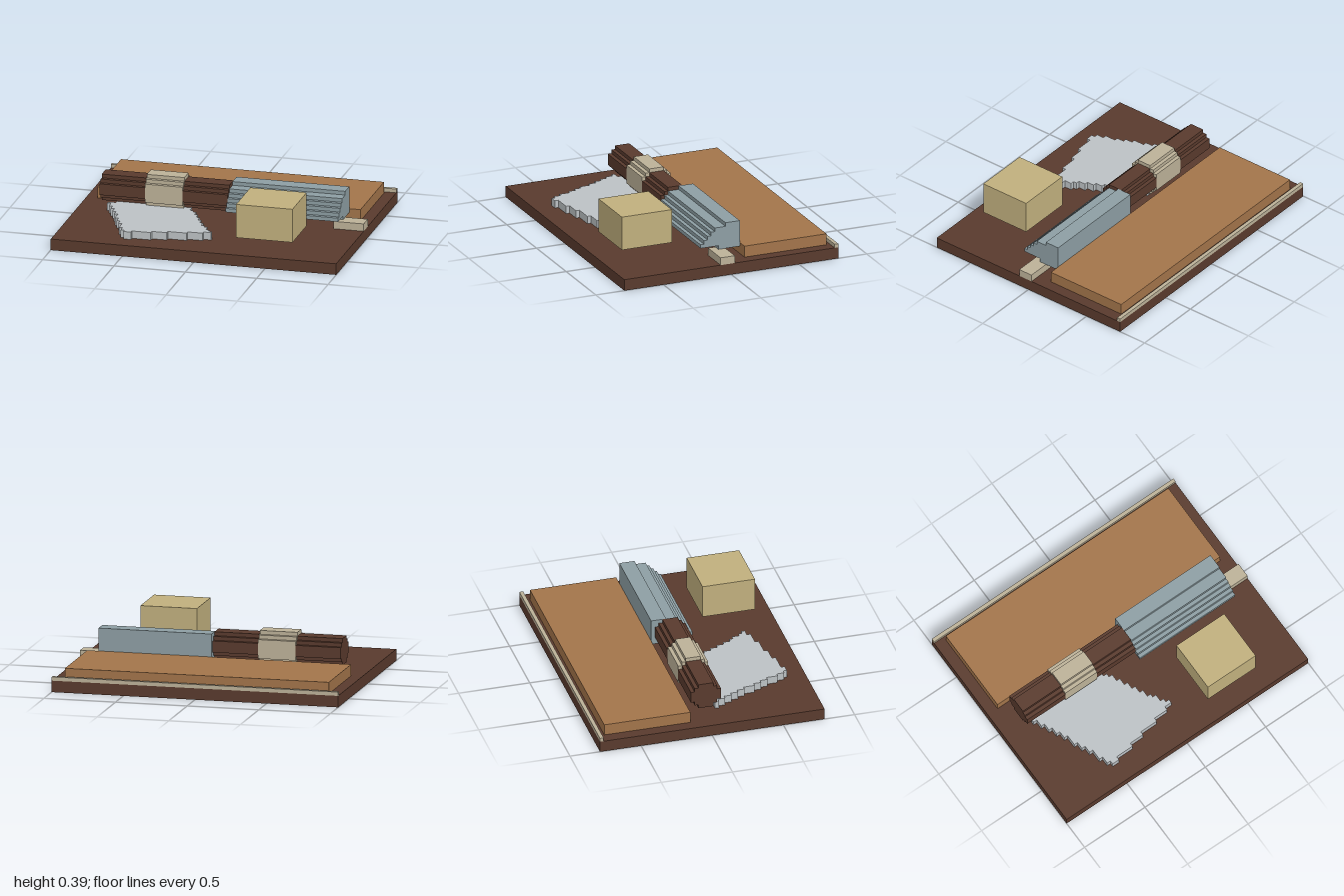
import * as THREE from 'three';

// Everything sits on a cubic grid: 76 cells make the 2-unit width.
const V = 2 / 76;

const colour = (name, hex) => {
  const m = new THREE.MeshStandardMaterial({ color: hex });
  m.name = name;
  return m;
};

// Box from grid ranges.
function block(name, material, [x0, x1], [y0, y1], [z0, z1]) {
  const g = new THREE.BoxGeometry(x1 - x0, y1 - y0, z1 - z0);
  g.translate((x0 + x1) / 2, (y0 + y1) / 2, (z0 + z1) / 2);
  return finish(name, material, g);
}

function finish(name, material, geometry) {
  geometry.scale(V, V, V);
  const mesh = new THREE.Mesh(geometry, material);
  mesh.name = name;
  return mesh;
}

// Stepped outline from rows one cell high, each giving [min, max].
function stepped(rows, first) {
  const right = [], left = [];
  rows.forEach(([a, b], i) => {
    const y = first + i;
    right.push(new THREE.Vector2(b, y), new THREE.Vector2(b, y + 1));
    left.push(new THREE.Vector2(a, y), new THREE.Vector2(a, y + 1));
  });
  const points = [...right, ...left.reverse()];
  // Drop repeated and collinear points
  const n = points.length;
  return new THREE.Shape(points.filter((p, i) => {
    const q = points[(i + n - 1) % n], r = points[(i + 1) % n];
    return (p.x - q.x) * (r.y - p.y) !== (p.y - q.y) * (r.x - p.x);
  }));
}

// Bar along x with a stepped cross-section; rows give the [back, front] z range.
function bar(name, material, rows, firstY, x0, x1) {
  const shape = stepped(rows.map(([back, front]) => [-front, -back]), firstY);
  const g = new THREE.ExtrudeGeometry(shape, { depth: x1 - x0, bevelEnabled: false });
  g.rotateY(Math.PI / 2).translate(x0, 0, 0);
  return finish(name, material, g);
}

// Flat slab with a stepped plan; rows along z give the [left, right] x range.
function slab(name, material, rows, firstZ, y0, y1) {
  const g = new THREE.ExtrudeGeometry(stepped(rows, firstZ), { depth: y1 - y0, bevelEnabled: false });
  g.rotateX(Math.PI / 2).translate(0, y1, 0);
  return finish(name, material, g);
}

export function createModel() {
  const darkWood = colour('dark wood', 0x593a2d);
  const lightWood = colour('light wood', 0xa2744a);
  const steel = colour('blue steel', 0x8d9ea3);
  const paleGrey = colour('pale grey', 0xbcc1c4);
  const straw = colour('straw', 0xc0af7d);
  const beige = colour('beige', 0xbcb198);

  const model = new THREE.Group();
  model.name = 'model';

  // Board, raised back panel, edging and end tab
  model.add(
    block('baseBoard', darkWood, [-38, 38], [0, 3], [-30, 30]),
    block('backPanel', lightWood, [-35, 35], [3, 6], [-28, -5]),
    block('backTrim', beige, [-38, 38], [3, 4], [-30, -29]),
    block('endTab', beige, [30, 38], [3, 5], [-1, 3]),
    block('strawBlock', straw, [10, 25], [6, 15], [11, 25]),
  );

  // Rounded handle in two lengths with a thicker collar between
  const round = (halves) => halves.map((h) => [-h, h]);
  const handle = round([2, 3, 4, 4, 4, 3, 2]);
  const collar = round([2, 3, 4, 4, 4, 4, 4, 3, 2]);
  model.add(
    bar('handleEnd', darkWood, handle, 5, -32, -20),
    bar('handleCollar', beige, collar, 4, -20, -10),
    bar('handleInner', darkWood, handle, 5, -10, 2),
  );

  // Wedge-shaped blade with a stepped front
  const blade = [1, 6, 5, 4, 3, 2, -1].map((front) => [-5, front]);
  model.add(bar('blade', steel, blade, 5, 2, 32));

  // Tilted plate lying on the board
  const plate = [
    [-14, -10], [-19, -9], [-24, -9], [-28, -8], [-30, -8], [-29, -7], [-29, -6],
    [-28, -6], [-28, -5], [-27, -5], [-27, -4], [-26, -4], [-26, -3], [-25, -3],
    [-25, -2], [-25, -2], [-24, -1], [-24, 0], [-23, 0], [-23, 1], [-22, 2],
    [-22, 0], [-22, -4], [-21, -9], [-21, -13], [-20, -18],
  ];
  model.add(slab('tiltedPlate', paleGrey, plate, -1, 3, 5));

  return model;
}
